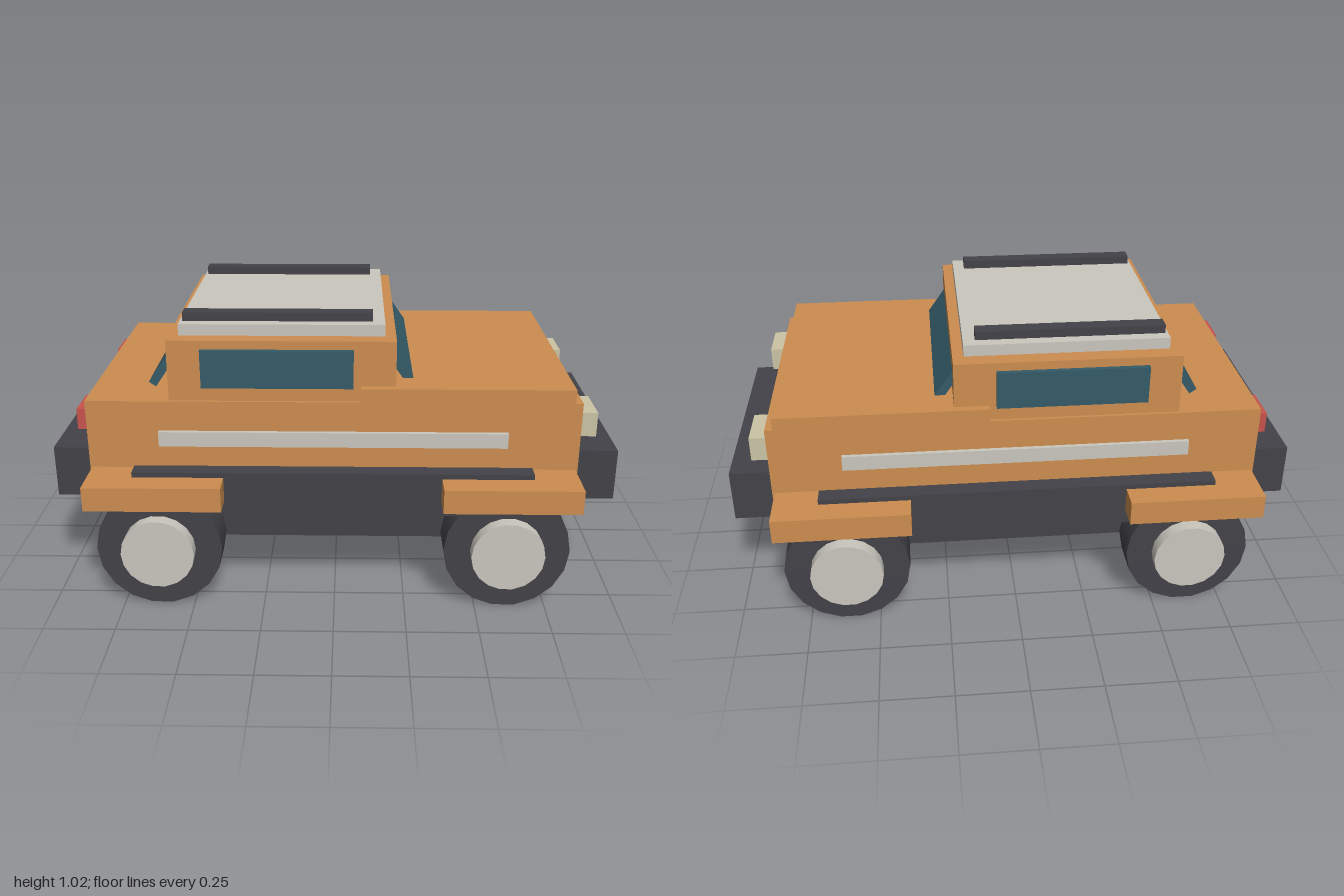
import * as THREE from 'three';

const material = (name, color) => {
  const m = new THREE.MeshStandardMaterial({ color });
  m.name = name;
  return m;
};

export function createModel() {
  const car = new THREE.Group();
  car.name = 'offRoadCar';

  const orange = material('orangePaint', 0xcd8d50);
  const dark = material('darkTrim', 0x434248);
  const silver = material('silver', 0xcac7be);
  const glass = material('glass', 0x345c69);
  const cream = material('headlightCream', 0xcbc4a5);
  const red = material('tailLightRed', 0xc8524d);

  // Box given by its limits on each axis
  const box = (name, mat, [x0, x1], [y0, y1], [z0, z1]) => {
    const mesh = new THREE.Mesh(new THREE.BoxGeometry(x1 - x0, y1 - y0, z1 - z0), mat);
    mesh.position.set((x0 + x1) / 2, (y0 + y1) / 2, (z0 + z1) / 2);
    mesh.name = name;
    car.add(mesh);
    return mesh;
  };
  // Same box on both sides of the car
  const pair = (name, mat, x, y, [z0, z1]) => {
    box(name, mat, x, y, [z0, z1]);
    box(name, mat, x, y, [-z1, -z0]);
  };

  // Chassis and bodywork
  box('chassis', dark, [-0.83, 0.82], [0.17, 0.5], [-0.377, 0.377]);
  box('body', orange, [-0.86, 0.85], [0.46, 0.735], [-0.47, 0.47]);
  box('hood', orange, [0.09, 0.82], [0.727, 0.79], [-0.487, 0.487]);
  box('cabin', orange, [-0.57, 0.21], [0.73, 0.95], [-0.46, 0.46]);
  box('roof', silver, [-0.535, 0.172], [0.945, 0.99], [-0.4, 0.4]);
  pair('roofRail', dark, [-0.525, 0.13], [0.985, 1.02], [0.307, 0.36]);

  // Bumpers and front cross bar
  box('frontBumper', dark, [0.855, 1], [0.35, 0.537], [-0.415, 0.415]);
  box('rearBumper', dark, [-1, -0.87], [0.35, 0.537], [-0.415, 0.415]);
  box('crossBar', dark, [0.855, 0.908], [0.318, 0.36], [-0.29, 0.29]);

  // Side trim, running boards and fenders
  pair('sideStrip', silver, [-0.61, 0.6], [0.573, 0.627], [0.46, 0.485]);
  pair('runningBoard', dark, [-0.695, 0.685], [0.353, 0.51], [0.505, 0.565]);
  for (const x of [-0.615, 0.605]) {
    pair('fender', orange, [x - 0.235, x + 0.235], [0.405, 0.492], [0.48, 0.653]);
  }

  // Windows
  pair('sideWindow', glass, [-0.455, 0.065], [0.786, 0.92], [0.45, 0.477]);
  const windshield = box('windshield', glass, [0.215, 0.245], [0.726, 0.926], [-0.37, 0.37]);
  windshield.rotation.z = 0.61;
  const rearWindow = box('rearWindow', glass, [-0.61, -0.58], [0.743, 0.913], [-0.36, 0.36]);
  rearWindow.rotation.z = -0.6;

  // Lights
  pair('headlight', cream, [0.84, 0.912], [0.6, 0.687], [0.267, 0.433]);
  pair('tailLight', red, [-0.908, -0.85], [0.605, 0.68], [0.267, 0.407]);

  // Wheels: tyre with a hub showing on both faces
  const disc = (radius, width) =>
    new THREE.CylinderGeometry(radius, radius, width, 18).rotateY(Math.PI / 2).rotateX(Math.PI / 2);
  const tyreGeometry = disc(0.221, 0.135);
  const hubGeometry = disc(0.128, 0.23);
  for (const x of [-0.615, 0.605]) {
    for (const side of [-1, 1]) {
      const wheel = new THREE.Group();
      wheel.name = 'wheel';
      const tyre = new THREE.Mesh(tyreGeometry, dark);
      tyre.name = 'tyre';
      const hub = new THREE.Mesh(hubGeometry, silver);
      hub.name = 'hub';
      wheel.add(tyre, hub);
      wheel.position.set(x, 0.219, side * 0.502);
      car.add(wheel);
    }
  }

  return car;
}
